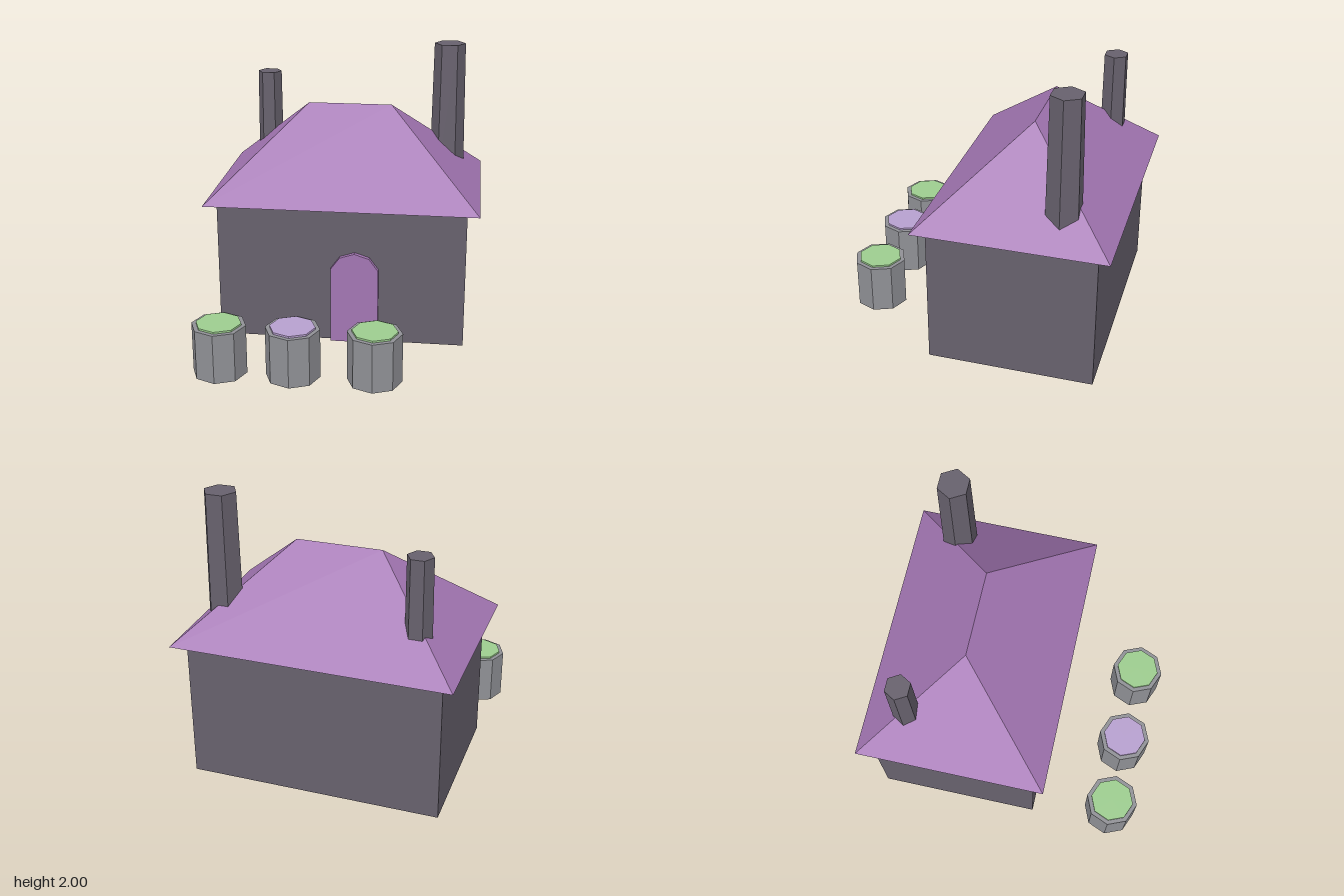
import * as THREE from 'three';

function material(name, color) {
  const m = new THREE.MeshStandardMaterial({ color });
  m.name = name;
  return m;
}

export function createModel() {
  const stone = material('dark stone', 0x67616d);
  const purple = material('purple', 0xa376b3);
  const grey = material('barrel grey', 0x909196);
  const green = material('green', 0x9dcd8f);
  const lilac = material('lilac', 0xb7a0cf);

  const house = new THREE.Group();
  house.name = 'house';

  function add(parent, name, geometry, mat, x = 0, y = 0, z = 0) {
    // facets keep their own normals
    const geo = geometry.index ? geometry.toNonIndexed() : geometry;
    geo.computeVertexNormals();
    const mesh = new THREE.Mesh(geo, mat);
    mesh.name = name;
    mesh.position.set(x, y, z);
    parent.add(mesh);
    return mesh;
  }

  // Walls
  add(house, 'walls', new THREE.BoxGeometry(1.75, 1, 1.15), stone, 0, 0.5, -0.335);

  // Hipped roof: four eave corners and two ridge ends
  const roof = new THREE.BufferGeometry();
  roof.setAttribute('position', new THREE.Float32BufferAttribute([
    -0.96, 1, 0.325, 0.96, 1, 0.325, 0.96, 1, -1, -0.96, 1, -1,
    -0.3, 1.6, -0.34, 0.3, 1.6, -0.34,
  ], 3));
  roof.setIndex([
    0, 1, 5, 0, 5, 4, // front
    1, 2, 5, // left slope
    2, 3, 4, 2, 4, 5, // back
    3, 0, 4, // right slope
    0, 3, 2, 0, 2, 1, // underside
  ]);
  add(house, 'roof', roof, purple);

  // Tapered six-sided chimneys
  function chimney(name, x, z, top, rTop, rBase) {
    const base = 1.02;
    const geo = new THREE.CylinderGeometry(rTop, rBase, top - base, 6).rotateY(Math.PI / 6);
    add(house, name, geo, stone, x, (top + base) / 2, z);
  }
  chimney('tallChimney', 0.7, -0.64, 2, 0.113, 0.127);
  chimney('shortChimney', -0.652, -0.69, 1.75, 0.088, 0.094);

  // Door with a faceted arch
  const outline = [[-0.17, 0], [0.17, 0]];
  for (let deg = 18; deg <= 162; deg += 36) {
    const a = THREE.MathUtils.degToRad(deg);
    outline.push([Math.cos(a) * 0.177, 0.5 + Math.sin(a) * 0.175]);
  }
  const arch = new THREE.Shape(outline.map(([x, y]) => new THREE.Vector2(x, y)));
  add(house, 'door', new THREE.ExtrudeGeometry(arch, { depth: 0.045, bevelEnabled: false }), purple, 0.1, 0, 0.23);

  // Eight-sided barrels with coloured contents
  for (const [x, fill] of [[-0.75, green], [-0.25, lilac], [0.3, green]]) {
    const barrel = new THREE.Group();
    barrel.name = 'barrel';
    barrel.position.set(x, 0, 0.813);
    add(barrel, 'barrelBody', new THREE.CylinderGeometry(0.186, 0.186, 0.35, 8), grey, 0, 0.175, 0);
    add(barrel, 'barrelContents', new THREE.CylinderGeometry(0.155, 0.155, 0.02, 8), fill, 0, 0.353, 0);
    house.add(barrel);
  }

  return house;
}
